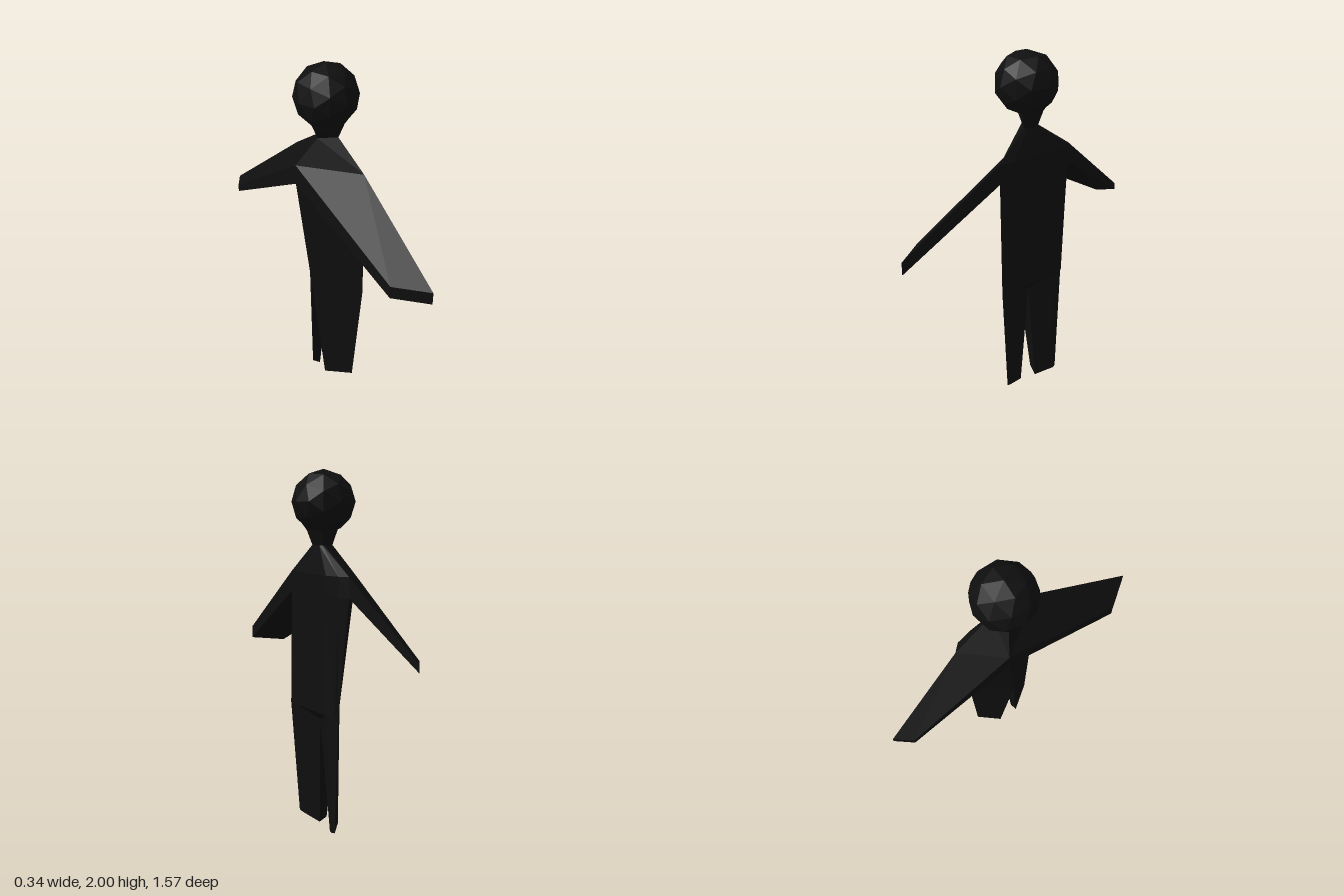
import * as THREE from 'three';

const black = new THREE.MeshStandardMaterial({ color: 0x0f0f0f, flatShading: true });
black.name = 'matte black';

// Closed faceted solid through rings of [x, y, z] corners, turned to face outward
function loft(name, rings) {
  const n = rings[0].length, tris = [];
  for (let r = 0; r < rings.length - 1; r++) {
    for (let i = 0; i < n; i++) {
      const j = (i + 1) % n, a = rings[r], b = rings[r + 1];
      tris.push([a[i], a[j], b[j]], [a[i], b[j], b[i]]);
    }
  }
  const first = rings[0], last = rings[rings.length - 1];
  for (let i = 1; i < n - 1; i++) {
    tris.push([first[0], first[i + 1], first[i]], [last[0], last[i], last[i + 1]]);
  }
  let volume = 0;
  for (const [a, b, c] of tris) {
    const [u, v, w] = [a, b, c].map((p) => new THREE.Vector3(...p));
    volume += u.dot(v.cross(w));
  }
  if (volume < 0) tris.forEach((t) => t.reverse());
  const geometry = new THREE.BufferGeometry();
  geometry.setAttribute('position', new THREE.Float32BufferAttribute(tris.flat(2), 3));
  geometry.computeVertexNormals();
  const mesh = new THREE.Mesh(geometry, black);
  mesh.name = name;
  return mesh;
}

// Level ring from [x, z] pairs
const level = (y, points) => points.map(([x, z]) => [x, y, z]);

export function createModel() {
  const group = new THREE.Group();
  group.name = 'figure';

  // Head: low-poly ball
  const head = new THREE.Mesh(new THREE.IcosahedronGeometry(0.171, 1), black);
  head.name = 'head';
  head.position.set(0, 1.829, -0.03);
  group.add(head);

  // Torso: three-sided column with a flat front and a ridge down the back
  const chest = [[0.08, 0.12], [0.065, 0.2], [-0.15, -0.1], [0.02, -0.31], [0.06, -0.27], [0.08, -0.18]];
  const hips = [[0.08, 0.12], [0.075, 0.2], [-0.1, -0.04], [0.045, -0.25], [0.06, -0.24], [0.08, -0.18]];
  const collar = [[0.045, 0], [0.04, 0.02], [-0.05, -0.04], [0.025, -0.085], [0.035, -0.08], [0.045, -0.06]];
  group.add(loft('torso', [level(0.7, hips), level(1.34, chest), level(1.45, chest), level(1.6, collar)]));

  // Neck: flares from the collar into the head
  const jaw = [[0.075, 0.02], [0.06, 0.045], [-0.09, -0.03], [0.03, -0.11], [0.055, -0.1], [0.075, -0.07]];
  const skull = [[0.14, 0.01], [0.09, 0.08], [-0.14, -0.03], [0.05, -0.15], [0.1, -0.13], [0.14, -0.07]];
  group.add(loft('neck', [level(1.6, collar), level(1.68, jaw), level(1.75, skull)]));

  // Arms: flat wedges from the sides of the torso to slanted ends
  const slab = (front, back, top, bottom) => [
    [front[0], top, front[1]], [back[0], top, back[1]],
    [back[0], bottom, back[1]], [front[0], bottom, front[1]],
  ];
  group.add(loft('leftArm', [
    slab([0.065, 0.2], [-0.15, -0.1], 1.45, 1.34),
    slab([0.02, 0.785], [-0.11, 0.615], 1.06, 0.99),
  ]));
  group.add(loft('rightArm', [
    slab([0.02, -0.31], [-0.15, -0.1], 1.45, 1.34),
    slab([-0.07, -0.785], [-0.14, -0.695], 1.06, 1.02),
  ]));

  // Legs: taper from the hips to thin slanted feet, meeting at the crotch
  const crotch = [0.02, 0.64, -0.03];
  group.add(loft('leftLeg', [
    [[0.08, 0.7, 0.12], [0.075, 0.7, 0.2], [-0.1, 0.7, -0.04], crotch],
    [[0.045, 0.052, 0.125], [0.05, 0.06, 0.15], [-0.05, 0.04, 0.015], [0, 0.02, 0.01]],
  ]));
  group.add(loft('rightLeg', [
    [[0.08, 0.7, -0.18], [0.045, 0.7, -0.25], [-0.1, 0.7, -0.04], crotch],
    [[0.05, 0.035, -0.2], [0.045, 0.04, -0.22], [-0.05, 0.04, -0.105], [0, 0, -0.1]],
  ]));

  // Pelvis: closes the underside between the legs
  const pelvis = [[0.08, 0.7, 0.12], [-0.1, 0.7, -0.04], [0.08, 0.7, -0.18]];
  group.add(loft('pelvis', [pelvis, pelvis.map(() => crotch)]));

  return group;
}
